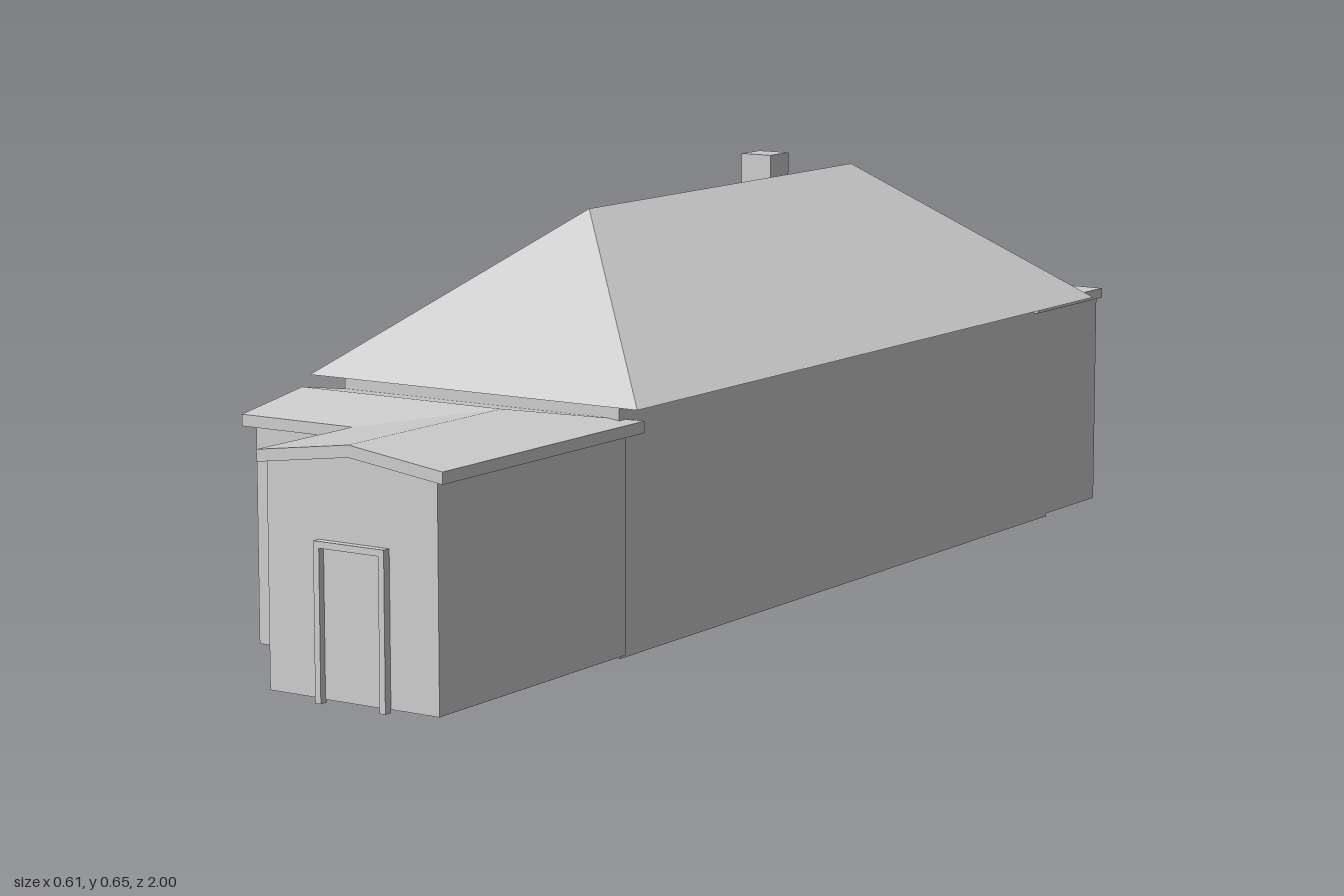
import * as THREE from 'three';

const mat = new THREE.MeshStandardMaterial({ color: 0xcccccc, flatShading: true });

export function createModel() {
  const root = new THREE.Group();

  const add = (name, geo, parent = root) => {
    const m = new THREE.Mesh(geo, mat);
    m.name = name;
    parent.add(m);
    return m;
  };
  // Box given by its limits on each axis
  const box = (name, x0, x1, y0, y1, z0, z1, parent) =>
    add(name, new THREE.BoxGeometry(x1 - x0, y1 - y0, z1 - z0), parent)
      .position.set((x0 + x1) / 2, (y0 + y1) / 2, (z0 + z1) / 2);
  // Solid from corner points and convex faces (counter-clockwise from outside)
  const solid = (pts, faces) => {
    const pos = [];
    for (const f of faces)
      for (let i = 1; i < f.length - 1; i++) pos.push(...pts[f[0]], ...pts[f[i]], ...pts[f[i + 1]]);
    const g = new THREE.BufferGeometry();
    g.setAttribute('position', new THREE.Float32BufferAttribute(pos, 3));
    g.computeVertexNormals();
    return g;
  };
  // Wall block with a gabled profile, extruded along z
  const gable = (a, b, ridge, eaveA, eaveB, depth) => {
    const s = new THREE.Shape([[a, 0.005], [b, 0.005], [b, eaveB], [ridge, 0.362], [a, eaveA]]
      .map(([x, y]) => new THREE.Vector2(x, y)));
    return new THREE.ExtrudeGeometry(s, { depth, bevelEnabled: false });
  };

  // Main house
  box('mainWalls', -0.255, 0.255, 0, 0.384, -0.81, 0.53);
  add('mainRoof', solid(
    [[-0.304, 0.384, 0.555], [0.304, 0.384, 0.555], [0.304, 0.384, -0.88], [-0.304, 0.384, -0.88],
      [0, 0.63, 0.235], [0, 0.63, -0.56]],
    [[0, 1, 4], [1, 2, 5, 4], [2, 3, 5], [3, 0, 4, 5], [3, 2, 1, 0]]));
  box('chimney', -0.118, -0.06, 0.5, 0.655, -0.452, -0.395);

  // Rear extension with flat roof
  box('rearWalls', -0.255, 0.255, 0.005, 0.37, -0.987, -0.8);
  box('rearRoof', -0.262, 0.262, 0.367, 0.384, -0.995, -0.755);

  // L-shaped front extension walls
  add('frontWingWalls', gable(-0.042, 0.26, 0.113, 0.341, 0.342, 0.987 - 0.62)).position.z = 0.62;
  const side = add('sideWingWalls', gable(-0.76, -0.52, -0.63, 0.342, 0.343, 0.345));
  side.rotation.y = Math.PI / 2;
  side.position.x = -0.245;
  box('cornerWalls', 0.09, 0.26, 0.005, 0.342, 0.52, 0.63);

  // L-shaped front roof: one gable turning into the other, hipped at the corner
  const outline = [[-0.26, 0.357, 0.775], [-0.052, 0.357, 0.775], [-0.052, 0.357, 0.998],
    [0.113, 0.379, 0.998], [0.277, 0.357, 0.998], [0.277, 0.357, 0.495],
    [-0.26, 0.357, 0.495], [-0.26, 0.379, 0.63]];
  const top = [...outline, [0.113, 0.379, 0.63]];
  const n = top.length;
  const pts = [...top, ...top.map(([x, y, z]) => [x, y - 0.018, z])];
  const slopes = [[0, 1, 8, 7], [1, 2, 3, 8], [8, 3, 4, 5], [7, 8, 5, 6]];
  const faces = [...slopes, ...slopes.map(f => f.map(i => i + n).reverse())];
  outline.forEach((_, i) => {
    const j = (i + 1) % outline.length;
    faces.push([i, i + n, j + n, j]);
  });
  add('frontRoof', solid(pts, faces));

  // Doors and window: thin panel inside a raised frame, on a wall at z facing dir
  const opening = (name, x0, x1, y0, y1, wall, dir, sill) => {
    const g = new THREE.Group();
    g.name = name;
    root.add(g);
    const part = (label, a, b, c, d, t) =>
      box(label, a, b, c, d, Math.min(wall, wall + dir * t), Math.max(wall, wall + dir * t), g);
    const w = 0.01, t = 0.013;
    part('panel', x0 + w, x1 - w, Math.max(y0, 0.005), y1 - w, 0.002);
    part('frameLeft', x0, x0 + w, y0, y1 - w, t);
    part('frameRight', x1 - w, x1, y0, y1 - w, t);
    part('frameTop', x0, x1, y1 - w, y1, t);
    if (sill) {
      part('frameBottom', x0 + w, x1 - w, y0, y0 + w, t);
      part('crossBar', x0 + w, x1 - w, (y0 + y1) / 2 - 0.004, (y0 + y1) / 2 + 0.004, 0.008);
    }
  };
  opening('frontDoor', 0.05, 0.175, 0, 0.236, 0.987, 1, false);
  opening('rearDoor', -0.23, -0.105, 0, 0.236, -0.987, -1, false);
  opening('rearWindow', -0.085, 0.02, 0.085, 0.236, -0.987, -1, true);

  return root;
}
